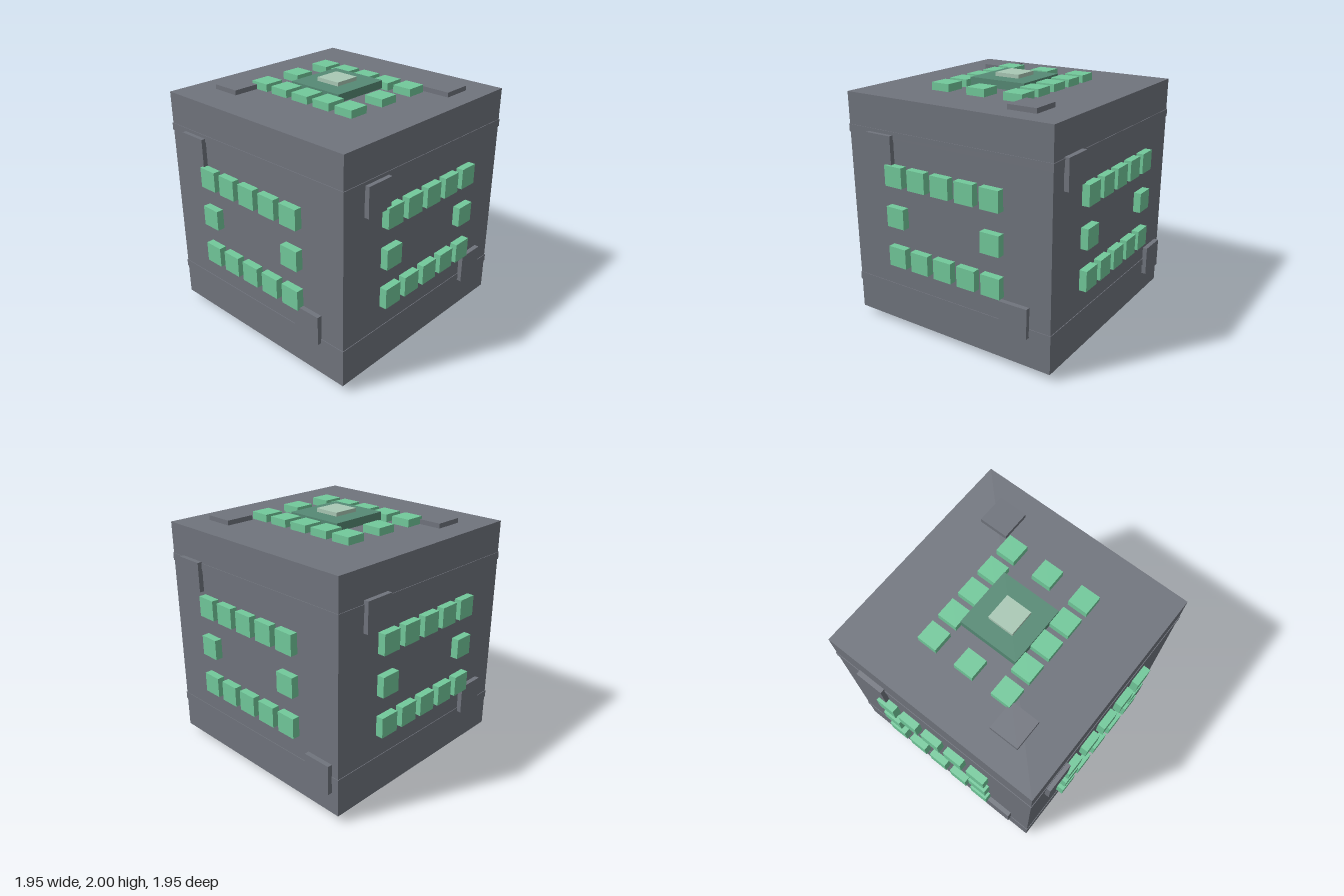
import * as THREE from 'three';

const mat = (name, color) => {
  const m = new THREE.MeshStandardMaterial({ color });
  m.name = name;
  return m;
};

const HALF = 0.915, CENTRE_Y = 0.98;

export function createModel() {
  const grey = mat('slateGrey', 0x70747d);
  const green = mat('mintGreen', 0x72c99b);
  const darkGreen = mat('deepGreen', 0x568a75);
  const pale = mat('paleGreen', 0xa9c8b5);

  const model = new THREE.Group();
  model.name = 'panelledCube';

  const box = (parent, name, material, size, pos) => {
    const mesh = new THREE.Mesh(new THREE.BoxGeometry(...size), material);
    mesh.name = name;
    mesh.position.set(...pos);
    parent.add(mesh);
    return mesh;
  };

  // Main body and two barely raised bands around it
  box(model, 'body', grey, [2 * HALF, 2 * HALF, 2 * HALF], [0, CENTRE_Y, 0]);
  for (const s of [-1, 1]) {
    box(model, 'seamBand', grey, [1.84, 0.06, 1.84], [0, CENTRE_Y + s * 0.63, 0]);
  }

  // Each face is modelled lying on local +z, then turned into place.
  // pads: local (x, y) centres of the two grey cover plates
  const faces = [
    { name: 'frontFace', rot: [0, 0, 0], pads: [[-0.625, 0.515], [0.585, -0.515]] },
    { name: 'backFace', rot: [0, Math.PI, 0], pads: [[-0.66, 0.55], [0.735, -0.62]] },
    { name: 'leftFace', rot: [0, Math.PI / 2, 0], pads: [[-0.59, 0.515], [0.62, -0.55]] },
    { name: 'rightFace', rot: [0, -Math.PI / 2, 0], pads: [[-0.555, 0.57], [0.62, -0.515]] },
    { name: 'topFace', rot: [-Math.PI / 2, 0, 0], pads: [[0.62, 0.555], [-0.59, -0.51]] },
    { name: 'bottomFace', rot: [Math.PI / 2, 0, 0], pads: [[0.58, 0.57], [-0.62, -0.51]] },
  ];

  for (const { name, rot, pads } of faces) {
    const face = new THREE.Group();
    face.name = name;
    face.position.y = CENTRE_Y;
    face.rotation.set(...rot);
    model.add(face);

    // Ring of green tiles: full rows above and below, ends only in the middle
    for (let row = -1; row <= 1; row++) {
      for (let col = -2; col <= 2; col++) {
        if (row === 0 && Math.abs(col) < 2) continue;
        box(face, 'greenTile', green, [0.163, 0.163, 0.065],
          [col * 0.22, row * 0.33, HALF + 0.0275]);
      }
    }

    // Grey cover plates near opposite corners
    for (const [x, y] of pads) {
      box(face, 'coverPlate', grey, [0.238, 0.238, 0.05], [x, y, HALF + 0.013]);
    }
  }

  // Stepped emblem plate in the middle of the top
  box(model, 'topPlate', darkGreen, [0.495, 0.065, 0.495], [0, 1.9375, 0]);
  box(model, 'topCore', pale, [0.215, 0.04, 0.215], [0, 1.98, 0]);

  return model;
}
